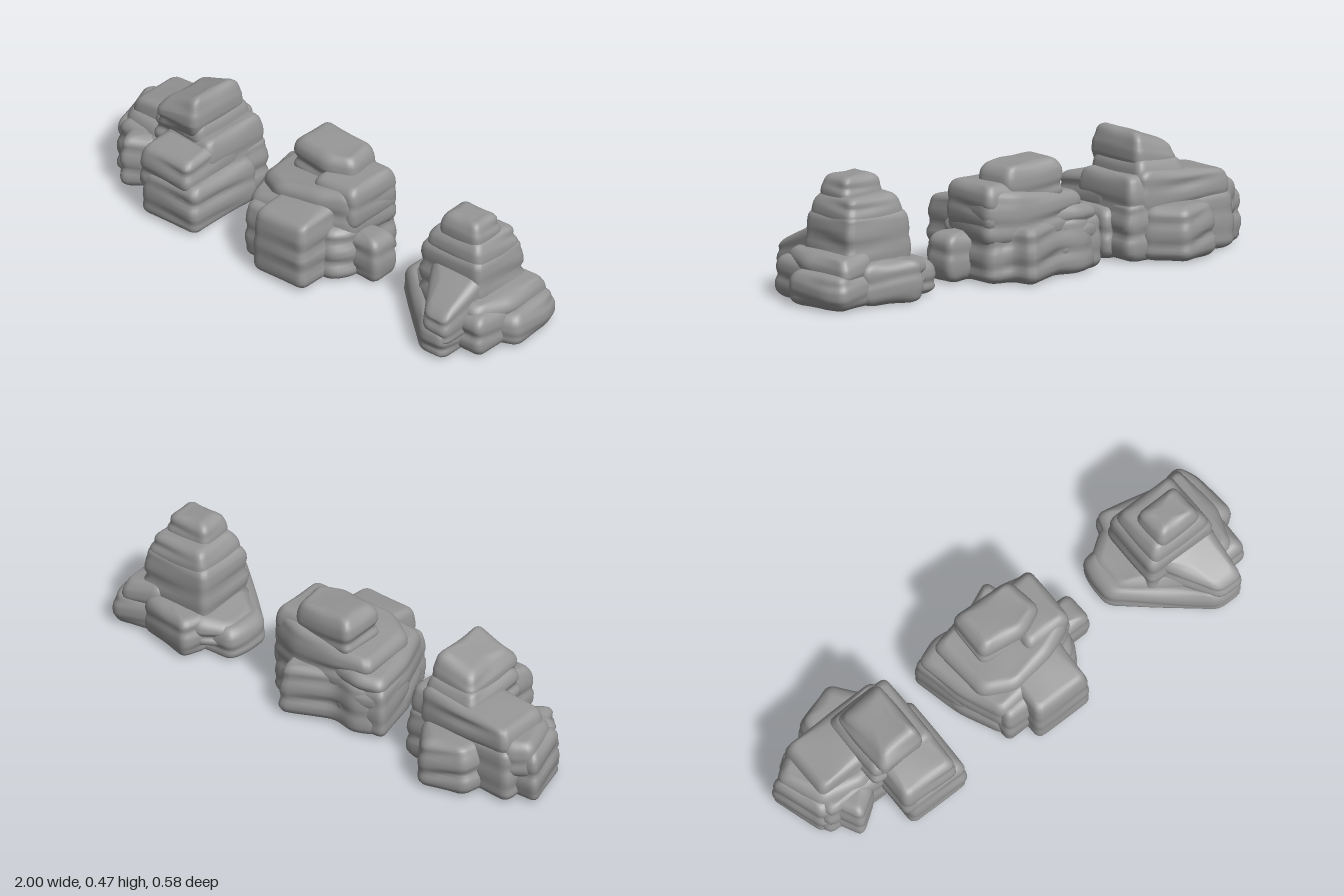
import * as THREE from 'three';

const N = 80; // samples around each slab

// Closed outline with softened corners, resampled evenly, always wound the same way
function outline(corners, soft = 0.03) {
  const pts = corners.map(([x, z]) => new THREE.Vector2(x, z));
  if (THREE.ShapeUtils.area(pts) < 0) pts.reverse();
  const shape = new THREE.Shape();
  pts.forEach((p, i) => {
    const a = pts[(i + pts.length - 1) % pts.length], b = pts[(i + 1) % pts.length];
    const cut = (q) => p.clone().lerp(q, Math.min(0.45, soft / p.distanceTo(q)));
    const s = cut(a), e = cut(b);
    if (i === 0) shape.moveTo(s.x, s.y); else shape.lineTo(s.x, s.y);
    shape.quadraticCurveTo(p.x, p.y, e.x, e.y);
  });
  shape.closePath();
  return shape.getSpacedPoints(N).slice(0, N);
}

// Tilted strata: grooves between rounded bands
function groove(x, y, z, phase) {
  const s = (y + 0.07 * x - 0.06 * z + 0.01 * Math.sin(9 * x + 7 * z + phase)) / 0.085 + phase;
  return Math.pow(Math.abs(Math.cos(Math.PI * s)), 5) * (0.65 + 0.35 * Math.sin(11 * x - 8 * z + phase));
}

// Weathered slab lofted from an outline; taper narrows it upward, slope tilts its top
function slab(name, corners, y0, y1, { taper = 0.95, slope = [0, 0], round = 0.035, phase = 0 }) {
  const ring = outline(corners);
  const c = ring.reduce((s, p) => s.add(p), new THREE.Vector2()).divideScalar(N);
  const h = y1 - y0, r = Math.min(round, h * 0.45);
  const foot = y0 === 0 ? 0.05 : r; // ground slabs curl under further
  const rows = []; // [height fraction, inset, cap scale]
  for (const k of [0, 0.4, 0.75]) rows.push([0, foot, k]);
  for (let i = 0; i <= 5; i++) {
    const a = (i / 5) * Math.PI / 2;
    rows.push([r * (1 - Math.cos(a)) / h, foot * (1 - Math.sin(a)), 1]);
  }
  for (let i = 1; i < 10; i++) rows.push([(r + (h - 2 * r) * i / 10) / h, 0, 1]);
  for (let i = 0; i <= 6; i++) {
    const a = (i / 6) * Math.PI / 2;
    rows.push([(h - r + r * Math.sin(a)) / h, r * (1 - Math.cos(a)), 1]);
  }
  for (const k of [0.8, 0.5, 0.25, 0]) rows.push([1, r, k]);

  const pos = [], idx = [];
  rows.forEach(([t, inset, k]) => ring.forEach((p) => {
    const d = p.clone().sub(c), len = d.length();
    const y = y0 + t * h;
    const bulge = (0.008 - 0.016 * groove(p.x, y, p.y, phase)) * Math.sin(Math.PI * t);
    d.multiplyScalar(Math.max(0, len * THREE.MathUtils.lerp(1, taper, t) - inset + bulge) * k / len);
    const bump = t === 1 ? 0.004 * Math.sin(17 * d.x + phase) * Math.cos(15 * d.y) : 0;
    pos.push(c.x + d.x, y + t * (slope[0] * d.x + slope[1] * d.y) + bump, c.y + d.y);
  }));
  for (let j = 0; j < rows.length - 1; j++) {
    for (let i = 0; i < N; i++) {
      const a = j * N + i, b = j * N + (i + 1) % N;
      idx.push(a, a + N, b, b, a + N, b + N);
    }
  }
  const geo = new THREE.BufferGeometry();
  geo.setAttribute('position', new THREE.Float32BufferAttribute(pos, 3));
  geo.setIndex(idx);
  geo.computeVertexNormals();
  const mesh = new THREE.Mesh(geo, new THREE.MeshStandardMaterial({ color: 0x969696 }));
  mesh.name = name;
  return mesh;
}

// Four-cornered plan, skewed a little so blocks do not look machined
const quad = (x0, x1, z0, z1, k = 0.012) => [[x0, z0 + k], [x1 - k, z0], [x1, z1 - k], [x0 + k, z1]];

function rock(name, parts) {
  const g = new THREE.Group();
  g.name = name;
  parts.forEach(([part, corners, y0, y1, options], i) => g.add(slab(part, corners, y0, y1, { phase: i * 0.37, ...options })));
  return g;
}

export function createModel() {
  const model = new THREE.Group();
  model.name = 'rockFormations';

  model.add(rock('leftRock', [
    ['core', quad(-0.92, -0.41, -0.18, 0.14), 0, 0.22],
    ['leftLobe', [[-1, -0.1], [-0.92, 0.12], [-0.8, 0.1], [-0.83, -0.12]], 0, 0.21],
    ['frontLeftLobe', [[-0.9, 0.05], [-0.81, 0.215], [-0.7, 0.13], [-0.7, 0]], 0, 0.21],
    ['frontFoot', quad(-0.65, -0.375, -0.08, 0.285), 0, 0.19, { taper: 0.93 }],
    ['backLobe', [[-0.8, -0.1], [-0.78, -0.24], [-0.6, -0.3], [-0.49, -0.17], [-0.5, -0.1]], 0, 0.2, { taper: 0.88 }],
    ['leftShelf', [[-0.98, -0.09], [-0.9, 0.09], [-0.72, 0.12], [-0.6, 0.05], [-0.6, -0.15], [-0.9, -0.15]], 0.1, 0.25],
    ['middleSlab', quad(-0.9, -0.48, -0.17, 0.07), 0.12, 0.315, { slope: [0.1, 0], taper: 0.98 }],
    ['frontBlock', quad(-0.67, -0.42, -0.02, 0.275), 0.1, 0.295, { slope: [0, -0.14] }],
    ['rightLedge', quad(-0.66, -0.425, -0.17, 0.16), 0.12, 0.315, { taper: 0.93 }],
    ['shoulder', quad(-0.72, -0.48, -0.15, 0.15), 0.22, 0.365, { taper: 0.92, slope: [0.08, 0] }],
    ['peak', quad(-0.695, -0.49, -0.125, 0.165), 0.3, 0.445, { taper: 0.9, slope: [0.35, 0.03], round: 0.05 }],
  ]));

  model.add(rock('middleRock', [
    ['core', [[-0.28, -0.17], [-0.2, -0.215], [-0.1, -0.2], [0.1, -0.295], [0.13, -0.2], [0.22, -0.185],
      [0.24, 0.08], [0.2, 0.15], [-0.17, 0.2], [-0.26, 0.03]], 0, 0.21, { taper: 0.92 }],
    ['leftLobe', [[-0.31, -0.17], [-0.1, -0.2], [-0.1, 0.12], [-0.25, 0.04]], 0, 0.21],
    ['frontLeftLobe', quad(-0.18, 0, 0, 0.23), 0, 0.235],
    ['frontBlock', quad(-0.085, 0.17, -0.05, 0.285), 0, 0.285, { slope: [0, -0.14] }],
    ['rightLobe', quad(0.1, 0.33, -0.075, 0.065), 0, 0.18, { taper: 0.93 }],
    ['leftShelf', [[-0.3, -0.16], [-0.2, -0.2], [0.02, -0.17], [0.02, 0.18], [-0.17, 0.2], [-0.25, 0.03]], 0.1, 0.265, { slope: [0.14, 0] }],
    ['middleSlab', [[-0.235, -0.16], [-0.08, -0.195], [0.1, -0.205], [0.225, -0.175], [0.22, 0.07], [0.1, 0.13], [-0.08, 0.16], [-0.2, 0.1]],
      0.14, 0.325, { slope: [0.12, 0] }],
    ['rightShoulder', quad(0.02, 0.23, -0.18, 0.08), 0.19, 0.365],
    ['cap', [[-0.135, -0.17], [0.12, -0.17], [0.15, -0.02], [0.05, 0.03], [-0.13, 0.015]], 0.28, 0.43, { slope: [-0.03, 0] }],
  ]));

  model.add(rock('rightRock', [
    ['core', [[0.425, -0.09], [0.44, -0.165], [0.58, -0.18], [0.85, -0.2], [0.865, 0.26], [0.755, 0.265], [0.43, 0.01]], 0, 0.13],
    ['rightLobe', quad(0.75, 0.95, -0.1, 0.165), 0, 0.16],
    ['farRightLobe', [[0.75, -0.21], [0.94, -0.26], [0.975, -0.19], [1, 0], [0.93, 0.035], [0.75, 0.03]], 0, 0.13],
    ['backLobe', [[0.55, -0.17], [0.58, -0.27], [0.82, -0.225], [0.82, -0.1], [0.57, -0.1]], 0, 0.16],
    ['leftShelf', [[0.46, -0.14], [0.57, -0.22], [0.76, -0.18], [0.78, 0.22], [0.47, 0]], 0.04, 0.17, { slope: [0.2, 0] }],
    ['rightShelf', [[0.76, -0.2], [0.92, -0.24], [0.95, -0.03], [0.91, 0.13], [0.78, 0.15]], 0.05, 0.195, { slope: [-0.15, 0] }],
    ['frontSpur', [[0.62, 0.06], [0.63, -0.03], [0.865, -0.03], [0.87, 0.25], [0.765, 0.255]], 0.06, 0.255, { slope: [0, -0.5] }],
    ['tower', quad(0.56, 0.875, -0.19, 0.09), 0.06, 0.335, { taper: 0.93 }],
    ['towerUpper', quad(0.585, 0.86, -0.175, 0.075), 0.26, 0.395, { taper: 0.88 }],
    ['peak', quad(0.635, 0.828, -0.105, 0.05), 0.33, 0.463, { round: 0.04 }],
  ]));

  return model;
}
